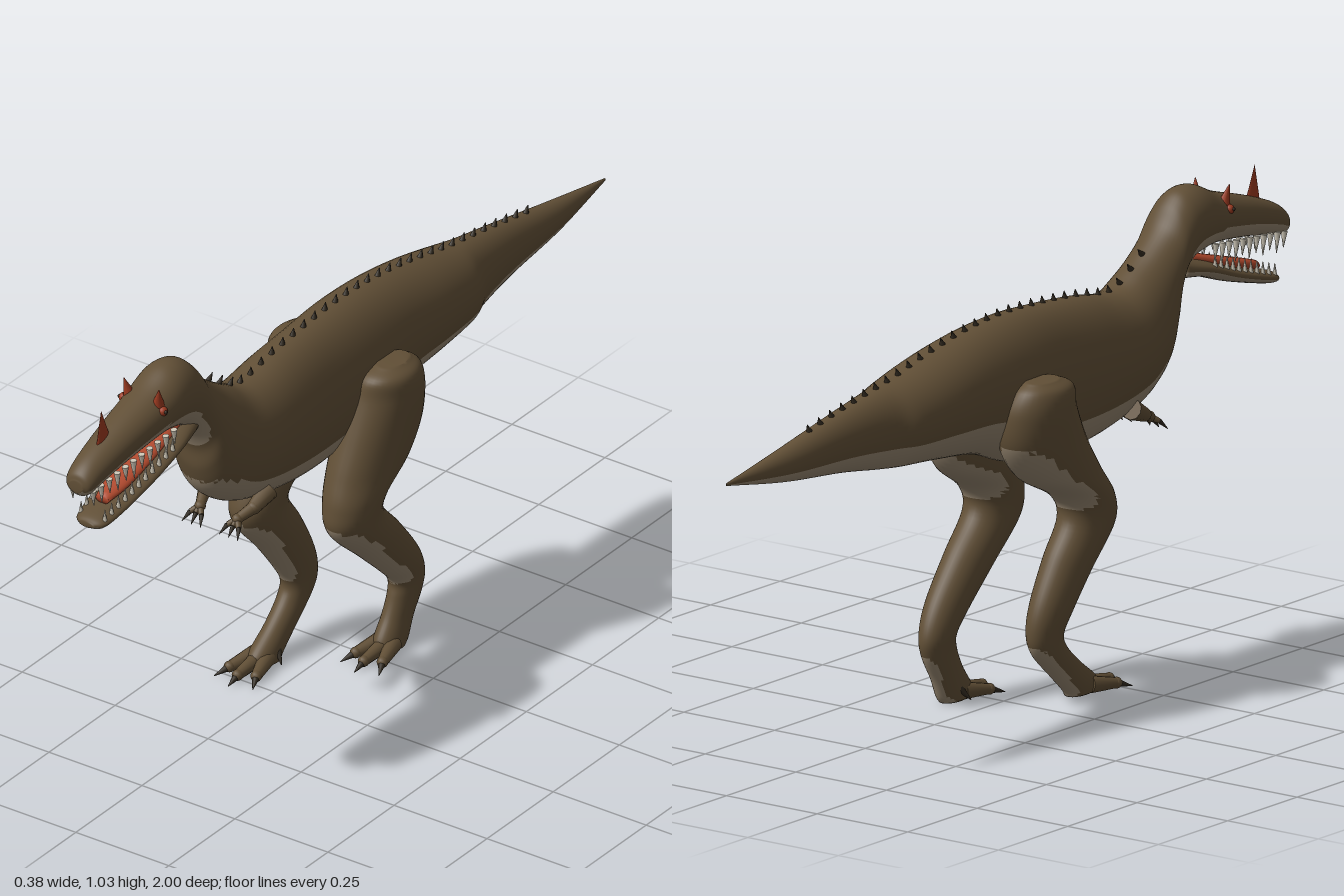
import * as THREE from 'three';

const mat = (name, color) => {
  const m = new THREE.MeshStandardMaterial({ color });
  m.name = name;
  return m;
};
const V = (x, y, z) => new THREE.Vector3(x, y, z);

// Sections are [z1, y1, z2, y2, halfWidth, centreX]: two opposite edge points
// of an oval ring. Curve x carries the half width / centre.
function edges(sections) {
  const a = sections.map(s => V(s[4], s[1], s[0]));
  const b = sections.map(s => V(s[5] || 0, s[3], s[2]));
  return [a, b].map(p => new THREE.CatmullRomCurve3(p, false, 'catmullrom', 0.5));
}

// Smooth loft; faces turned downwards go to the second material group
function loft(sections, segs = 48, steps = 7) {
  const [ca, cb] = edges(sections);
  const rings = (sections.length - 1) * steps;
  const pos = [], idx = [];
  for (let i = 0; i <= rings; i++) {
    const a = ca.getPoint(i / rings), b = cb.getPoint(i / rings);
    for (let j = 0; j < segs; j++) {
      const t = j / segs * Math.PI * 2, s = Math.sin(t) / 2;
      pos.push(b.x + Math.max(a.x, 0.001) * Math.cos(t),
        (a.y + b.y) / 2 + (a.y - b.y) * s, (a.z + b.z) / 2 + (a.z - b.z) * s);
    }
  }
  for (let i = 0; i < rings; i++) {
    for (let j = 0; j < segs; j++) {
      const p = i * segs + j, q = i * segs + (j + 1) % segs;
      idx.push([p, q, p + segs], [q, q + segs, p + segs]);
    }
  }
  const last = rings * segs;
  for (let j = 1; j < segs - 1; j++) {
    idx.push([0, j + 1, j], [last, last + j, last + j + 1]);
  }
  const at = k => V(pos[k * 3], pos[k * 3 + 1], pos[k * 3 + 2]);
  const upper = [], under = [];
  for (const f of idx) {
    const o = at(f[0]);
    const n = at(f[1]).sub(o).cross(at(f[2]).sub(o)).normalize();
    (n.y < -0.33 ? under : upper).push(...f);
  }
  const g = new THREE.BufferGeometry();
  g.setAttribute('position', new THREE.Float32BufferAttribute(pos, 3));
  g.setIndex([...upper, ...under]);
  g.addGroup(0, upper.length, 0);
  g.addGroup(upper.length, under.length, 1);
  g.computeVertexNormals();
  return g;
}

// Tapered limb or spike between two points
function taper(from, to, r0, r1, segs = 10) {
  const d = to.clone().sub(from);
  const g = new THREE.CylinderGeometry(r1, r0, d.length(), segs);
  g.applyQuaternion(new THREE.Quaternion().setFromUnitVectors(V(0, 1, 0), d.clone().normalize()));
  const c = from.clone().add(to).multiplyScalar(0.5);
  return g.translate(c.x, c.y, c.z);
}

export function createModel() {
  const root = new THREE.Group();
  const brown = mat('brown hide', 0x614f36), pale = mat('pale underside', 0x968670);
  const red = mat('red horn', 0x9c3a20), tongueRed = mat('tongue red', 0xb0482c);
  const dark = mat('dark claw', 0x30291f), ivory = mat('tooth ivory', 0xcfc8b8);
  const hide = [brown, pale];
  const add = (name, geo, material, parent = root) => {
    const m = new THREE.Mesh(geo, material);
    m.name = name;
    parent.add(m);
    return m;
  };
  const group = name => {
    const g = new THREE.Group();
    g.name = name;
    root.add(g);
    return g;
  };

  // Tail, trunk, neck, skull and upper jaw in one skin
  const body = [
    [-1, 0.71, -1, 0.704, 0.002], [-0.8, 0.745, -0.8, 0.67, 0.031],
    [-0.6, 0.785, -0.6, 0.648, 0.05], [-0.47, 0.808, -0.47, 0.628, 0.068],
    [-0.4, 0.82, -0.4, 0.62, 0.092], [-0.28, 0.847, -0.28, 0.61, 0.105],
    [-0.14, 0.872, -0.13, 0.59, 0.106], [0, 0.882, 0, 0.545, 0.108],
    [0.14, 0.876, 0.14, 0.527, 0.103], [0.26, 0.865, 0.26, 0.535, 0.103],
    [0.35, 0.85, 0.38, 0.56, 0.101], [0.4, 0.852, 0.465, 0.592, 0.097],
    [0.45, 0.878, 0.53, 0.645, 0.089], [0.5, 0.91, 0.556, 0.71, 0.079],
    [0.555, 0.955, 0.562, 0.77, 0.071], [0.59, 1.002, 0.59, 0.825, 0.067],
    [0.625, 1.028, 0.63, 0.86, 0.066], [0.675, 1.03, 0.675, 0.876, 0.066],
    [0.745, 1.0, 0.74, 0.884, 0.061], [0.86, 0.966, 0.86, 0.872, 0.05],
    [0.95, 0.934, 0.95, 0.856, 0.041], [0.99, 0.91, 0.985, 0.85, 0.034],
    [1, 0.89, 1, 0.862, 0.018],
  ];
  add('body', loft(body), hide);

  // Lower jaw and tongue
  add('lowerJaw', loft([
    [0.6, 0.885, 0.6, 0.83, 0.045], [0.68, 0.862, 0.68, 0.82, 0.058],
    [0.78, 0.826, 0.78, 0.788, 0.055], [0.88, 0.795, 0.88, 0.762, 0.048],
    [0.94, 0.779, 0.94, 0.75, 0.039], [0.96, 0.77, 0.96, 0.756, 0.02],
  ], 32), hide);
  const tongue = [
    [0.64, 0.885, 0.64, 0.86, 0.025], [0.74, 0.856, 0.74, 0.83, 0.031],
    [0.84, 0.828, 0.84, 0.802, 0.029], [0.9, 0.81, 0.9, 0.788, 0.018],
  ];
  add('tongue', loft(tongue, 20, 5), [tongueRed, tongueRed]);

  // Teeth in both jaws, on both sides
  const teeth = group('teeth');
  for (const side of [-1, 1]) {
    for (let i = 0; i < 11; i++) {
      const s = i / 10, z = 0.7 + 0.275 * s, x = side * (0.05 - 0.022 * s);
      const y = 0.897 - 0.033 * s, len = 0.038 + 0.009 * (i % 2);
      add('upperTooth', taper(V(x, y, z), V(x, y - len, z - 0.004), 0.008, 0.0008, 7), ivory, teeth);
      const zl = 0.7 + 0.235 * s, xl = side * (0.047 - 0.015 * s), yl = 0.842 - 0.074 * s;
      add('lowerTooth', taper(V(xl, yl, zl), V(xl, yl + 0.031, zl), 0.006, 0.0008, 7), ivory, teeth);
    }
  }

  // Nose horn, brow horns and eyes
  const horn = new THREE.ConeGeometry(0.027, 0.09, 20);
  horn.scale(0.3, 1, 1).rotateX(0.1).translate(0, 0.98, 0.9);
  add('noseHorn', horn, red);
  for (const side of [-1, 1]) {
    add('browHorn', taper(V(side * 0.038, 0.972, 0.742), V(side * 0.047, 1.02, 0.752), 0.016, 0.001), red);
    add('eye', new THREE.SphereGeometry(0.011, 14, 10).translate(side * 0.053, 0.966, 0.745), red);
    add('pupil', new THREE.SphereGeometry(0.005, 10, 8).translate(side * 0.0615, 0.967, 0.747), dark);
  }

  // Row of small spikes along the spine
  const spine = edges(body)[0], spikes = group('backSpikes');
  for (let i = 0; i < 31; i++) {
    const z = -0.7 + 0.04 * i;
    let lo = 0, hi = 1;
    for (let k = 0; k < 24; k++) {
      const mid = (lo + hi) / 2;
      if (spine.getPoint(mid).z < z) lo = mid; else hi = mid;
    }
    const p = spine.getPoint(lo), t = spine.getTangent(lo).setX(0).normalize();
    const from = V(0, p.y - 0.004, p.z);
    const to = from.clone().add(V(0, t.z, -t.y).multiplyScalar(0.02)).add(V(0, 0, -0.005));
    add('spike', taper(from, to, 0.008, 0.0008, 8), dark, spikes);
  }

  // Legs: front edge, back edge, half width, centre x
  const leg = [
    [0.02, 0.758, -0.07, 0.757, 0.03, 0.125], [0.062, 0.738, -0.1, 0.733, 0.063, 0.12],
    [0.078, 0.69, -0.118, 0.68, 0.084, 0.105], [0.115, 0.6, -0.122, 0.6, 0.082, 0.1],
    [0.148, 0.52, -0.085, 0.525, 0.076, 0.097], [0.17, 0.45, 0.0, 0.465, 0.065, 0.1],
    [0.16, 0.38, 0.01, 0.41, 0.057, 0.1], [0.06, 0.285, -0.06, 0.33, 0.051, 0.098],
    [-0.025, 0.205, -0.135, 0.235, 0.044, 0.096], [-0.066, 0.16, -0.167, 0.168, 0.037, 0.093],
    [-0.062, 0.125, -0.163, 0.118, 0.032, 0.093], [-0.042, 0.08, -0.132, 0.06, 0.03, 0.092],
    [-0.01, 0.035, -0.112, 0.018, 0.032, 0.093], [-0.01, 0.012, -0.1, 0.002, 0.03, 0.093],
  ];
  // Forward stride of the right leg at each section
  const stride = [0, 0, 0, 0.015, 0.04, 0.065, 0.08, 0.1, 0.125, 0.143, 0.155, 0.185, 0.21, 0.21];
  for (const side of [-1, 1]) {
    const name = side > 0 ? 'left' : 'right';
    const shift = i => side > 0 ? 0 : stride[i];
    add(name + 'Leg', loft(leg.map((s, i) =>
      [s[0] + shift(i), s[1], s[2] + shift(i), s[3], s[4], s[5] * side]), 36), hide);

    // Three spread toes with claws, and a small inner claw
    const foot = group(name + 'Foot'), z = shift(13);
    for (const k of [-1, 0, 1]) {
      const x = side * 0.095 + k * 0.016;
      const tip = V(x + k * 0.02, 0.014, z + (k ? 0.025 : 0.045));
      add('toe', taper(V(x, 0.022, z - 0.045), tip, 0.02, 0.012), brown, foot);
      add('toeTip', new THREE.SphereGeometry(0.013, 12, 8).translate(tip.x, tip.y, tip.z), brown, foot);
      add('claw', taper(tip, V(tip.x + k * 0.016, 0.002, tip.z + 0.036), 0.01, 0.0008), dark, foot);
    }
    add('innerClaw', taper(V(side * 0.07, 0.035, z - 0.07), V(side * 0.048, 0.008, z - 0.055), 0.01, 0.001), dark, foot);

    // Tiny arm with a clawed hand
    const arm = group(name + 'Arm');
    const shoulder = V(side * 0.07, 0.595, 0.37), elbow = V(side * 0.066, 0.572, 0.42);
    const wrist = V(side * 0.05, 0.556, 0.46);
    add('upperArm', taper(shoulder, elbow, 0.024, 0.016), brown, arm);
    add('elbow', new THREE.SphereGeometry(0.016, 12, 8).translate(elbow.x, elbow.y, elbow.z), brown, arm);
    add('forearm', taper(elbow, wrist, 0.015, 0.011), brown, arm);
    add('hand', new THREE.SphereGeometry(0.013, 12, 8).translate(wrist.x, wrist.y, wrist.z), brown, arm);
    for (const k of [-1, 0, 1]) {
      const knuckle = wrist.clone().add(V(k * 0.015, -0.011, 0.016));
      add('finger', taper(wrist, knuckle, 0.009, 0.006), brown, arm);
      add('fingerClaw', taper(knuckle, knuckle.clone().add(V(k * 0.01, -0.02, 0.018)), 0.006, 0.0006), dark, arm);
    }
  }
  return root;
}
